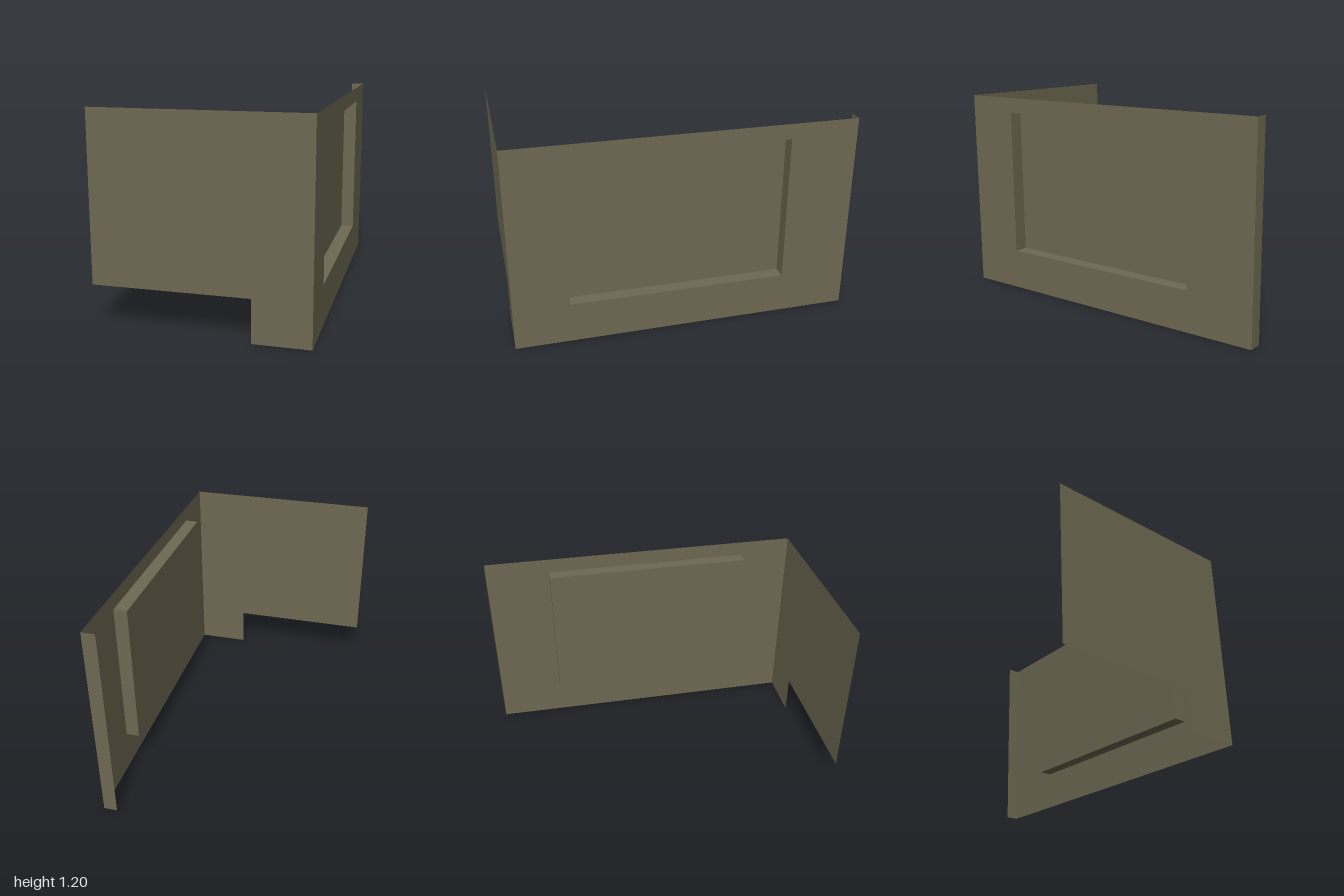
import * as THREE from 'three';

const rect = (PathType, x0, y0, x1, y1) =>
  new PathType([[x0, y0], [x1, y0], [x1, y1], [x0, y1]].map(([x, y]) => new THREE.Vector2(x, y)));

export function createModel() {
  const group = new THREE.Group();
  const olive = new THREE.MeshStandardMaterial({ color: 0x6e6952, side: THREE.DoubleSide });
  olive.name = 'olive panel';

  const H = 1.2, X = 0.6, Z = 1, inner = 0.52;
  const z0 = -0.6, z1 = 0.68, y0 = 0.24, y1 = 1.11; // recess opening

  const add = (name, geometry) => {
    const mesh = new THREE.Mesh(geometry, olive);
    mesh.name = name;
    group.add(mesh);
  };
  // Turns a shape drawn in (-z, y) to face +x
  const sideways = (shape, x) => new THREE.ShapeGeometry(shape).rotateY(Math.PI / 2).translate(x, 0, 0);

  // Side wall with a rectangular opening
  const wall = rect(THREE.Shape, -Z, 0, Z, H);
  wall.holes.push(rect(THREE.Path, -z1, y0, -z0, y1));
  add('sideWall', sideways(wall, X));

  // Recessed panel and the four faces of its rim
  add('recessPanel', sideways(rect(THREE.Shape, -z1, y0, -z0, y1), inner));
  const depth = X - inner, cx = (X + inner) / 2, cy = (y0 + y1) / 2, cz = (z0 + z1) / 2;
  for (const [name, y, turn] of [['recessBottom', y0, -1], ['recessTop', y1, 1]])
    add(name, new THREE.PlaneGeometry(depth, z1 - z0).rotateX(turn * Math.PI / 2).translate(cx, y, cz));
  for (const [name, z, turn] of [['recessFront', z1, Math.PI], ['recessBack', z0, 0]])
    add(name, new THREE.PlaneGeometry(depth, y1 - y0).rotateY(turn).translate(cx, cy, z));

  // Front wall with the lower corner cut away
  const front = new THREE.Shape([[-X, 0.245], [0.28, 0.245], [0.28, 0], [X, 0], [X, H], [-X, H]]
    .map(([x, y]) => new THREE.Vector2(x, y)));
  add('frontWall', new THREE.ShapeGeometry(front).translate(0, 0, Z));

  // Narrow return flange at the back edge
  add('backFlange', new THREE.PlaneGeometry(depth, H).rotateY(Math.PI).translate(cx, H / 2, -Z));

  return group;
}
